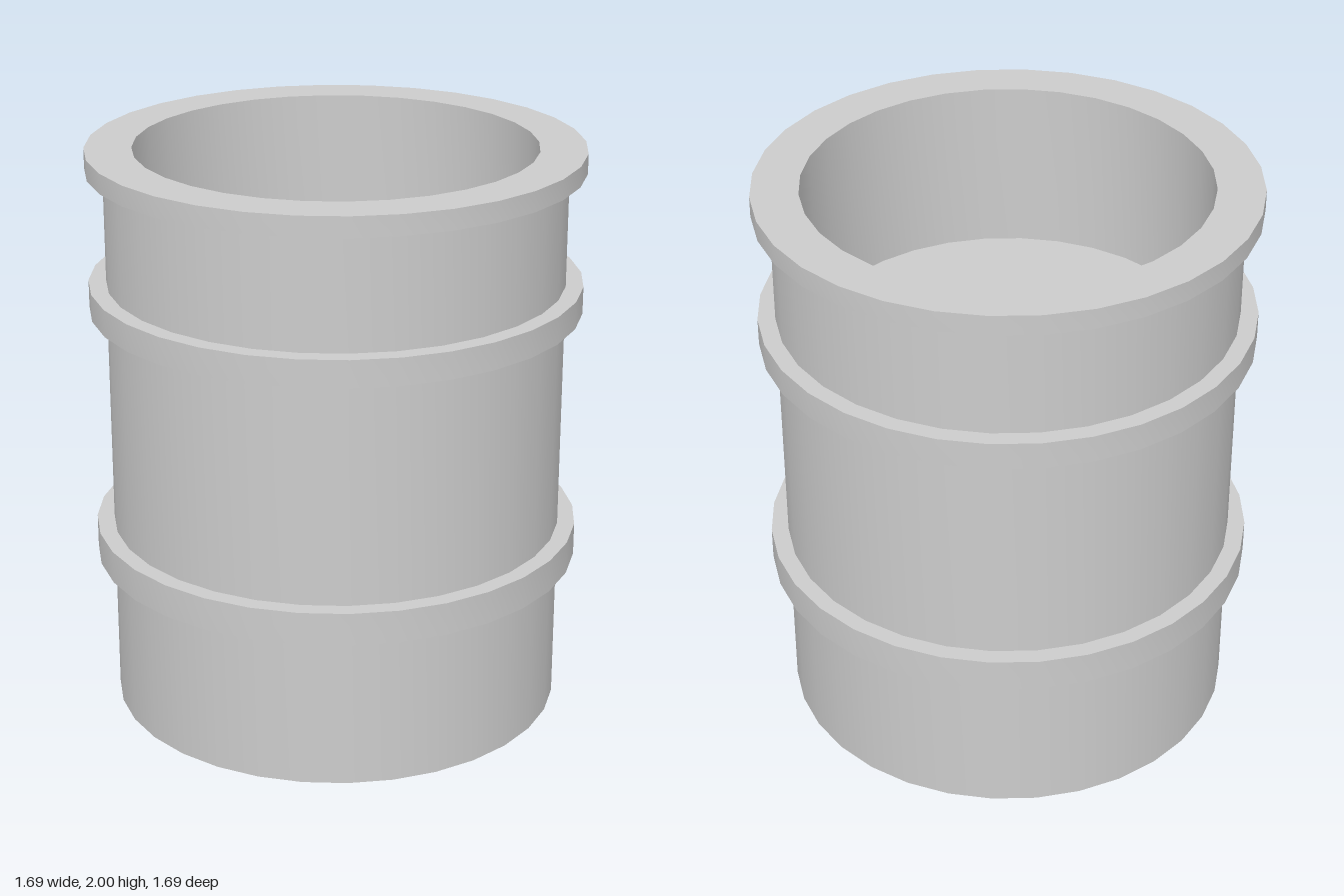
import * as THREE from 'three';
import { toCreasedNormals } from 'three/addons/utils/BufferGeometryUtils.js';

const SIDES = 32;
const BODY_R = 0.787;
const BAND_R = 0.847;
const INNER_R = 0.687;
const FLOOR_Y = 1.4;

export function createModel() {
  const group = new THREE.Group();
  group.name = 'barrel';
  const material = new THREE.MeshStandardMaterial({ color: 0xcccccc });

  // Revolves a [radius, height] profile, smooth around and sharp at corners
  const addTurned = (name, profile) => {
    const points = profile.map(([r, y]) => new THREE.Vector2(r, y));
    const geometry = toCreasedNormals(new THREE.LatheGeometry(points, SIDES), Math.PI / 6);
    const mesh = new THREE.Mesh(geometry, material);
    mesh.name = name;
    group.add(mesh);
  };

  // Body: base, outer wall, top rim, inner wall and recessed floor
  addTurned('body', [
    [0, 0], [BODY_R, 0], [BODY_R, 1.93],
    [BAND_R, 1.93], [BAND_R, 2],
    [INNER_R, 2], [INNER_R, FLOOR_Y], [0, FLOOR_Y],
  ]);

  // Raised hoops around the wall
  const hoops = [['lowerHoop', 0.545, 0.66], ['upperHoop', 1.44, 1.535]];
  for (const [name, bottom, top] of hoops) {
    addTurned(name, [[BODY_R, bottom], [BAND_R, bottom], [BAND_R, top], [BODY_R, top]]);
  }

  return group;
}
